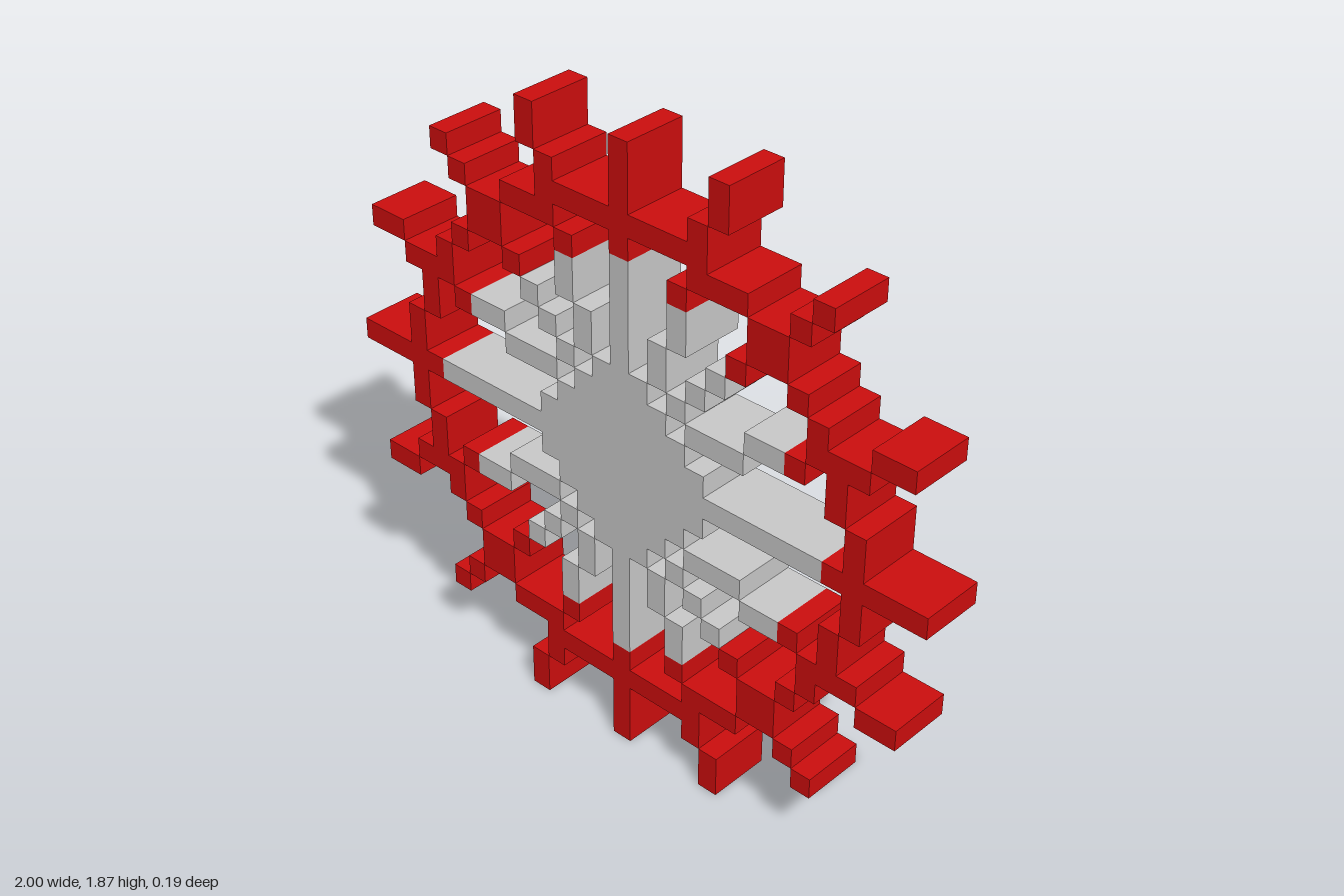
import * as THREE from 'three';

const CELL = 2 / 31;          // size of one block
const MID = 14.5 * CELL;      // height of the centre

export function createModel() {
  const model = new THREE.Group();
  model.name = 'snowflake';
  const red = new THREE.MeshStandardMaterial({ color: 0xcc0e0e });
  red.name = 'red';
  const grey = new THREE.MeshStandardMaterial({ color: 0xc8c8c8 });
  grey.name = 'light grey';

  // Box covering columns i0..i1 and rows j0..j1, counted from the centre
  function block(parent, material, i0, i1, j0, j1) {
    const geometry = new THREE.BoxGeometry((i1 - i0 + 1) * CELL, (j1 - j0 + 1) * CELL, 3 * CELL);
    const mesh = new THREE.Mesh(geometry, material);
    mesh.position.set((i0 + i1) / 2 * CELL, MID + (j0 + j1) / 2 * CELL, 0);
    mesh.name = parent.name + 'Block';
    parent.add(mesh);
  }

  // Repeats blocks across both axes, skipping copies that would coincide
  function part(name, material, blocks) {
    const group = new THREE.Group();
    group.name = name;
    for (const [i0, i1, j0, j1] of blocks) {
      for (const sx of i0 === -i1 ? [1] : [1, -1]) {
        for (const sy of j0 === -j1 ? [1] : [1, -1]) {
          const [a, b] = sx > 0 ? [i0, i1] : [-i1, -i0];
          const [c, d] = sy > 0 ? [j0, j1] : [-j1, -j0];
          block(group, material, a, b, c, d);
        }
      }
    }
    model.add(group);
  }

  // Stepped round centre
  part('hub', grey, [[-4, 4, -1, 1], [-3, 3, 2, 2], [-2, 2, 3, 3], [-1, 1, 4, 4]]);
  // Straight arms
  part('mainSpoke', grey, [[5, 10, 0, 0], [0, 0, 5, 9]]);
  // Stepped arms between the straight ones
  part('sideSpoke', grey, [[4, 6, 3, 3], [7, 8, 4, 4], [2, 2, 5, 6], [3, 3, 7, 8]]);
  part('diagonalSpoke', grey, [[3, 3, 4, 4], [4, 4, 5, 5], [5, 5, 6, 6]]);

  // Red ends of the arms
  part('mainTip', red, [[11, 15, 0, 0], [0, 0, 10, 14]]);
  part('sideSpokeTip', red, [[9, 9, 4, 4], [3, 3, 9, 9]]);
  part('diagonalTip', red, [[6, 6, 7, 7], [7, 8, 8, 9], [9, 9, 10, 10], [10, 10, 11, 11]]);
  // Outer ring
  part('rim', red, [
    [1, 3, 11, 11], [4, 4, 11, 12], [4, 6, 10, 10],
    [9, 9, 7, 7], [10, 10, 6, 6], [10, 12, 5, 5],
    [11, 11, 3, 4], [12, 12, 1, 2],
  ]);
  // Prongs outside the ring
  part('prong', red, [[5, 5, 13, 14], [13, 14, 6, 6]]);

  return model;
}
